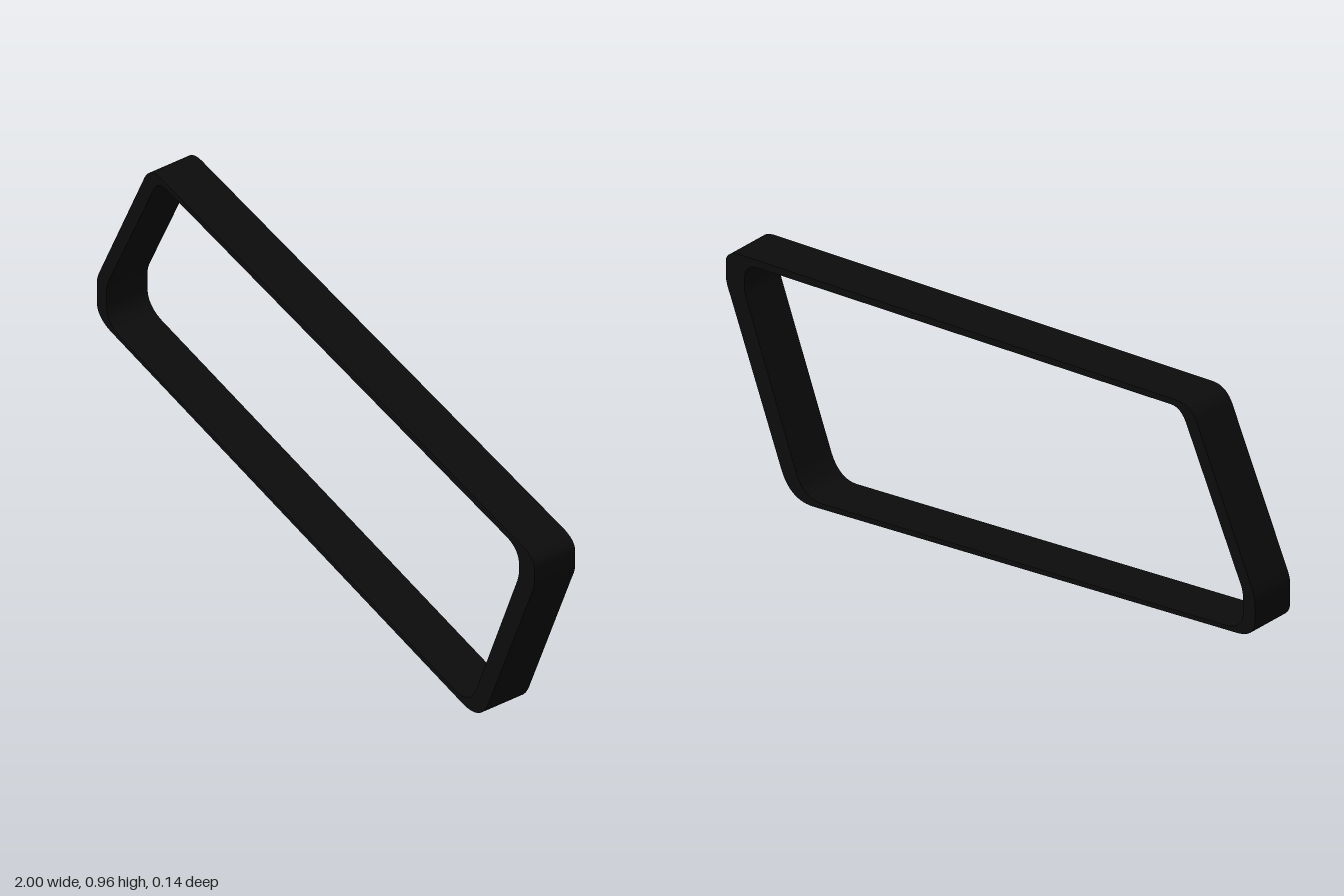
import * as THREE from 'three';

// Trace a closed outline; each corner is [start, control, end] and is rounded.
function trace(path, corners) {
  corners.forEach(([a, c, b], i) => {
    if (i === 0) path.moveTo(...a);
    else path.lineTo(...a);
    path.quadraticCurveTo(...c, ...b);
  });
  path.closePath();
  return path;
}

export function createModel() {
  const group = new THREE.Group();
  group.name = 'slantedFrame';
  const depth = 0.138;

  // Outer edge, counter-clockwise from the lower left corner
  const outline = trace(new THREE.Shape(), [
    [[-1, 0.38], [-1, 0.327], [-0.93, 0.314]],
    [[0.66, 0.01], [0.755, -0.012], [0.79, 0.075]],
    [[0.985, 0.555], [1, 0.585], [1, 0.61]],
    [[1, 0.65], [1, 0.688], [0.94, 0.697]],
    [[-0.70, 0.961], [-0.755, 0.972], [-0.78, 0.925]],
    [[-0.985, 0.49], [-1, 0.46], [-1, 0.44]],
  ]);

  // Opening: the short sides are thicker than the long rails
  outline.holes.push(trace(new THREE.Path(), [
    [[-0.955, 0.39], [-0.955, 0.335], [-0.89, 0.32]],
    [[0.64, 0.031], [0.71, 0.02], [0.74, 0.105]],
    [[0.92, 0.56], [0.93, 0.585], [0.93, 0.605]],
    [[0.93, 0.625], [0.93, 0.675], [0.87, 0.685]],
    [[-0.685, 0.94], [-0.72, 0.945], [-0.74, 0.905]],
    [[-0.945, 0.48], [-0.955, 0.46], [-0.955, 0.44]],
  ]));

  const geometry = new THREE.ExtrudeGeometry(outline, {
    depth, bevelEnabled: false, curveSegments: 10,
  });
  geometry.translate(0, 0, -depth / 2);
  const frame = new THREE.Mesh(
    geometry,
    new THREE.MeshStandardMaterial({ color: 0x0c0c0c }),
  );
  frame.name = 'frame';
  group.add(frame);
  return group;
}
